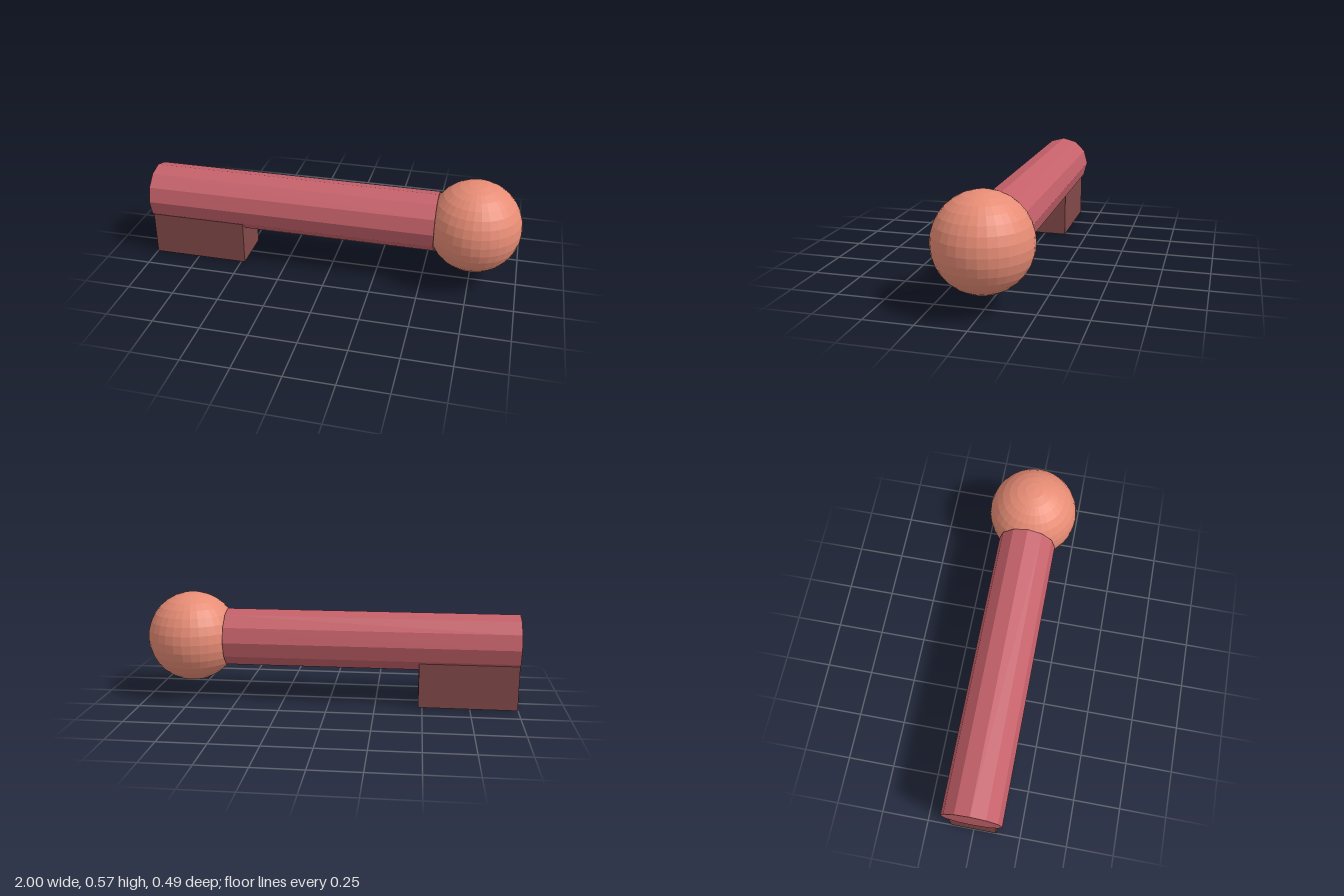
import * as THREE from 'three';

export function createModel() {
  const group = new THREE.Group();

  const material = (name, color) => {
    const m = new THREE.MeshStandardMaterial({ color, flatShading: true });
    m.name = name;
    return m;
  };
  const add = (name, geometry, mat, x, y) => {
    const mesh = new THREE.Mesh(geometry, mat);
    mesh.name = name;
    mesh.position.set(x, y, 0);
    group.add(mesh);
    return mesh;
  };

  const axisY = 0.332;

  // Twelve-sided bar lying along x
  const bar = new THREE.CylinderGeometry(0.157, 0.157, 1.561, 12);
  bar.rotateZ(-Math.PI / 2);
  add('bar', bar, material('rose red', 0xc5616a), -0.2195, axisY);

  // Ball on the left end of the bar
  add('ball', new THREE.SphereGeometry(0.243, 32, 16), material('salmon', 0xe88d76), 0.757, axisY);

  // Block under the right end, reaching up into the bar
  add('footBlock', new THREE.BoxGeometry(0.52, 0.3, 0.244), material('dark maroon', 0x834949), -0.739, 0.15);

  return group;
}
